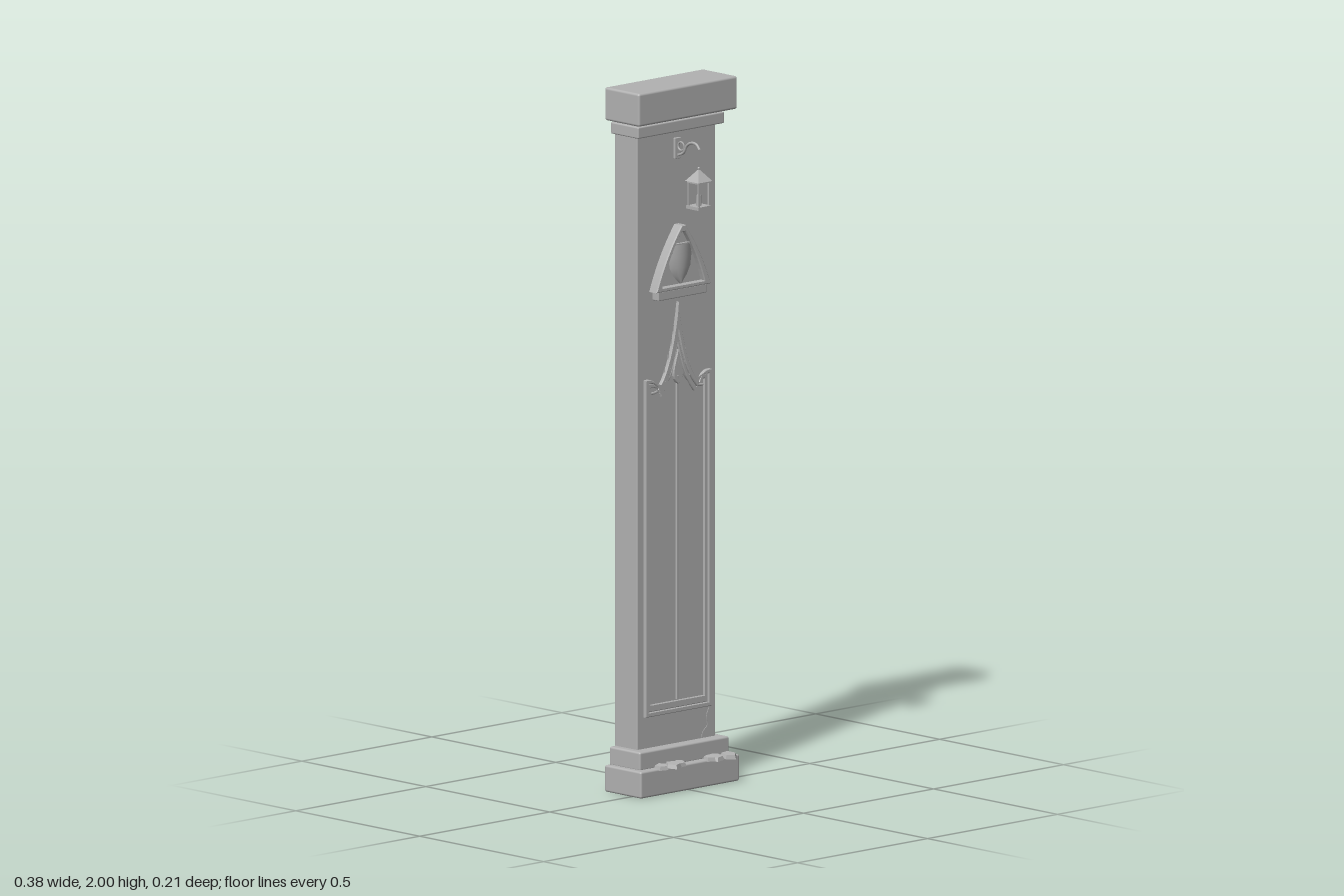
import * as THREE from 'three';
import { RoundedBoxGeometry } from 'three/addons/geometries/RoundedBoxGeometry.js';

const stone = new THREE.MeshStandardMaterial({ color: 0xb2b2b2 });
stone.name = 'grey stone';
const BACK = -0.105, WALL = -0.013;

function add(parent, name, geometry, x = 0, y = 0, z = 0) {
  const mesh = new THREE.Mesh(geometry, stone);
  mesh.name = name;
  mesh.position.set(x, y, z);
  parent.add(mesh);
  return mesh;
}

// Softened block spanning y0..y1 and z0..z1, centred on x
function block(parent, name, halfWidth, y0, y1, z0, z1, radius = 0.005) {
  return add(parent, name, new RoundedBoxGeometry(halfWidth * 2, y1 - y0, z1 - z0, 2, radius),
    0, (y0 + y1) / 2, (z0 + z1) / 2);
}

// Raised plate standing on the wall
function plate(parent, name, shape, depth, bevel = 0.002, z = WALL) {
  return add(parent, name, new THREE.ExtrudeGeometry(shape, {
    depth: depth - bevel, bevelEnabled: bevel > 0, bevelThickness: bevel,
    bevelSize: bevel, bevelOffset: -bevel, bevelSegments: 1, curveSegments: 10,
  }), 0, 0, z);
}

// Rectangular panel with hollowed shoulders and a pointed ogee top
function ogee(Type, half, bottom, shoulder, apex) {
  const s = new Type();
  s.moveTo(-half, bottom);
  s.lineTo(half, bottom);
  s.lineTo(half, shoulder);
  s.quadraticCurveTo(half * 0.72, shoulder + 0.005, half * 0.62, shoulder - 0.03);
  s.quadraticCurveTo(half * 0.2, shoulder + 0.02, 0, apex);
  s.quadraticCurveTo(-half * 0.2, shoulder + 0.02, -half * 0.62, shoulder - 0.03);
  s.quadraticCurveTo(-half * 0.72, shoulder + 0.005, -half, shoulder);
  s.closePath();
  return s;
}

function ogeeFrame(outer, inner) {
  const s = ogee(THREE.Shape, ...outer);
  s.holes.push(ogee(THREE.Path, ...inner));
  return s;
}

// Triangle with gently bowed sides
function bowedTriangle(Type, half, bottom, apex) {
  const s = new Type(), mid = (bottom + apex) / 2;
  s.moveTo(-half, bottom);
  s.lineTo(half, bottom);
  s.quadraticCurveTo(half * 0.66, mid + 0.01, 0.008, apex);
  s.lineTo(-0.008, apex);
  s.quadraticCurveTo(-half * 0.66, mid + 0.01, -half, bottom);
  return s;
}

function buildDoorPanel(parent) {
  const g = new THREE.Group();
  g.name = 'tracery panel';
  parent.add(g);
  plate(g, 'outer moulding', ogeeFrame([0.127, 0.215, 1.172, 1.38], [0.116, 0.228, 1.16, 1.3]), 0.01);
  plate(g, 'inner moulding', ogeeFrame([0.116, 0.228, 1.16, 1.3], [0.103, 0.248, 1.147, 1.265]), 0.006);
  block(g, 'mullion', 0.004, 0.25, 1.17, WALL - 0.002, WALL + 0.006, 0.001);

  // Small teardrop where the mullion meets the arch
  const drop = new THREE.Shape();
  drop.moveTo(0, 1.245);
  drop.bezierCurveTo(0.012, 1.2, 0.032, 1.17, 0, 1.145);
  drop.bezierCurveTo(-0.032, 1.17, -0.012, 1.2, 0, 1.245);
  const eye = new THREE.Path();
  eye.moveTo(0, 1.215);
  eye.bezierCurveTo(0.006, 1.19, 0.014, 1.175, 0, 1.16);
  eye.bezierCurveTo(-0.014, 1.175, -0.006, 1.19, 0, 1.215);
  drop.holes.push(eye);
  plate(g, 'teardrop', drop, 0.009, 0.001);

  // Leaf crockets up both sides of the gable
  for (const side of [-1, 1]) {
    for (const [x, y] of [[0.047, 1.185], [0.032, 1.225], [0.02, 1.265], [0.012, 1.3]]) {
      const leaf = add(g, 'crocket', new THREE.ConeGeometry(0.007, 0.04, 5), side * x, y, WALL + 0.002);
      leaf.rotation.z = -side * 0.12;
      leaf.scale.z = 0.8;
    }
    const rib = new THREE.QuadraticBezierCurve3(
      new THREE.Vector3(side * 0.1, 1.13, WALL), new THREE.Vector3(side * 0.02, 1.13, WALL),
      new THREE.Vector3(0, 1.25, WALL));
    add(g, 'arch rib', new THREE.TubeGeometry(rib, 12, 0.004, 5));
  }
}

function buildCrest(parent) {
  const g = new THREE.Group();
  g.name = 'crest';
  parent.add(g);
  const frame = bowedTriangle(THREE.Shape, 0.105, 1.42, 1.6);
  frame.holes.push(bowedTriangle(THREE.Path, 0.08, 1.432, 1.58));
  plate(g, 'triangular frame', frame, 0.03, 0.003);
  plate(g, 'crest backing', bowedTriangle(THREE.Shape, 0.09, 1.425, 1.585), 0.014, 0);
  block(g, 'crest ledge', 0.093, 1.395, 1.421, WALL - 0.003, 0.012, 0.003);

  // Shield domed from its outline toward a central ridge
  const rows = [[1.545, 0.042], [1.51, 0.044], [1.48, 0.04], [1.455, 0.026], [1.432, 0.001]];
  const pos = [], index = [], cols = 9;
  rows.forEach(([y, w]) => {
    for (let i = 0; i < cols; i++) {
      const t = i / (cols - 1) * 2 - 1;
      pos.push(t * w, y, 0.001 + 0.015 * (1 - t * t) * (0.4 + 0.6 * w / 0.044));
    }
  });
  for (let r = 0; r < rows.length - 1; r++) {
    for (let i = 0; i < cols - 1; i++) {
      const a = r * cols + i, b = a + cols;
      index.push(a, b, a + 1, a + 1, b, b + 1);
    }
  }
  const geo = new THREE.BufferGeometry();
  geo.setAttribute('position', new THREE.Float32BufferAttribute(pos, 3));
  geo.setIndex(index);
  geo.computeVertexNormals();
  add(g, 'shield', geo);
  add(g, 'shield top', new THREE.BoxGeometry(0.084, 0.005, 0.012), 0, 1.545, 0.004);
}

function buildLantern(parent) {
  const bracket = new THREE.Group();
  bracket.name = 'lantern bracket';
  parent.add(bracket);
  block(bracket, 'wall plate', 0.012, 1.785, 1.845, WALL - 0.002, WALL + 0.007, 0.002);
  const arm = new THREE.CatmullRomCurve3([[1.795, -0.008], [1.805, 0.015], [1.828, 0.03], [1.838, 0.05],
    [1.835, 0.068], [1.822, 0.08]].map(([y, z]) => new THREE.Vector3(0, y, z)));
  add(bracket, 'arm', new THREE.TubeGeometry(arm, 20, 0.004, 6));
  const scroll = add(bracket, 'scroll', new THREE.TorusGeometry(0.012, 0.003, 5, 14), 0, 1.822, 0.006);
  scroll.rotation.y = Math.PI / 2;

  const g = new THREE.Group();
  g.name = 'lantern';
  g.position.set(0, 0, 0.077);
  parent.add(g);
  const roof = new THREE.ConeGeometry(0.027 * Math.SQRT2, 0.034, 4).toNonIndexed();
  roof.computeVertexNormals();
  add(g, 'roof', roof, 0, 1.751, 0).rotation.y = Math.PI / 4;
  add(g, 'finial', new THREE.SphereGeometry(0.004, 8, 6), 0, 1.77, 0);
  add(g, 'top rail', new THREE.BoxGeometry(0.046, 0.006, 0.046), 0, 1.732, 0);
  add(g, 'floor', new THREE.BoxGeometry(0.05, 0.009, 0.05), 0, 1.66, 0);
  for (const x of [-1, 1]) for (const z of [-1, 1]) {
    add(g, 'corner post', new THREE.BoxGeometry(0.005, 0.072, 0.005), x * 0.02, 1.697, z * 0.02);
  }
  add(g, 'candle', new THREE.CylinderGeometry(0.007, 0.008, 0.03, 8), 0, 1.679, 0);
  add(g, 'flame', new THREE.ConeGeometry(0.005, 0.022, 6), 0, 1.705, 0);
}

export function createModel() {
  const model = new THREE.Group();
  model.name = 'gothic pillar';

  // Stacked stone blocks
  block(model, 'base', 0.19, 0, 0.076, BACK, 0.043, 0.006);
  block(model, 'upper base', 0.172, 0.072, 0.126, BACK, 0.02, 0.006);
  block(model, 'shaft', 0.151, 0.12, 1.87, BACK, WALL, 0.004);
  block(model, 'collar', 0.166, 1.865, 1.898, BACK, 0.007, 0.004);
  block(model, 'neck', 0.155, 1.89, 1.912, BACK, -0.004, 0.003);
  block(model, 'capital', 0.19, 1.906, 2, BACK, 0.035, 0.007);

  buildDoorPanel(model);
  buildCrest(model);
  buildLantern(model);

  // Flat stone chips lying along the front of the base
  for (const [x, z, r, turn] of [[-0.104, 0.036, 0.022, 0.3], [-0.062, 0.038, 0.025, 1], [-0.035, 0.036, 0.02, 0.6],
    [0.08, 0.038, 0.02, 0.2], [0.098, 0.042, 0.025, 0.8], [0.147, 0.045, 0.026, 1.4]]) {
    const geo = new THREE.CylinderGeometry(r * 0.8, r, 0.011, 5).toNonIndexed();
    geo.computeVertexNormals();
    const chip = add(model, 'stone chip', geo, x, 0.079, z);
    chip.rotation.set(0.08, turn, 0.06);
  }

  // Thin crack at the foot of the shaft
  const crack = new THREE.CatmullRomCurve3([[0.125, 0.21], [0.115, 0.185], [0.118, 0.16], [0.1, 0.142], [0.098, 0.128]]
    .map(([x, y]) => new THREE.Vector3(x, y, WALL)));
  add(model, 'crack', new THREE.TubeGeometry(crack, 14, 0.0015, 4));
  return model;
}
